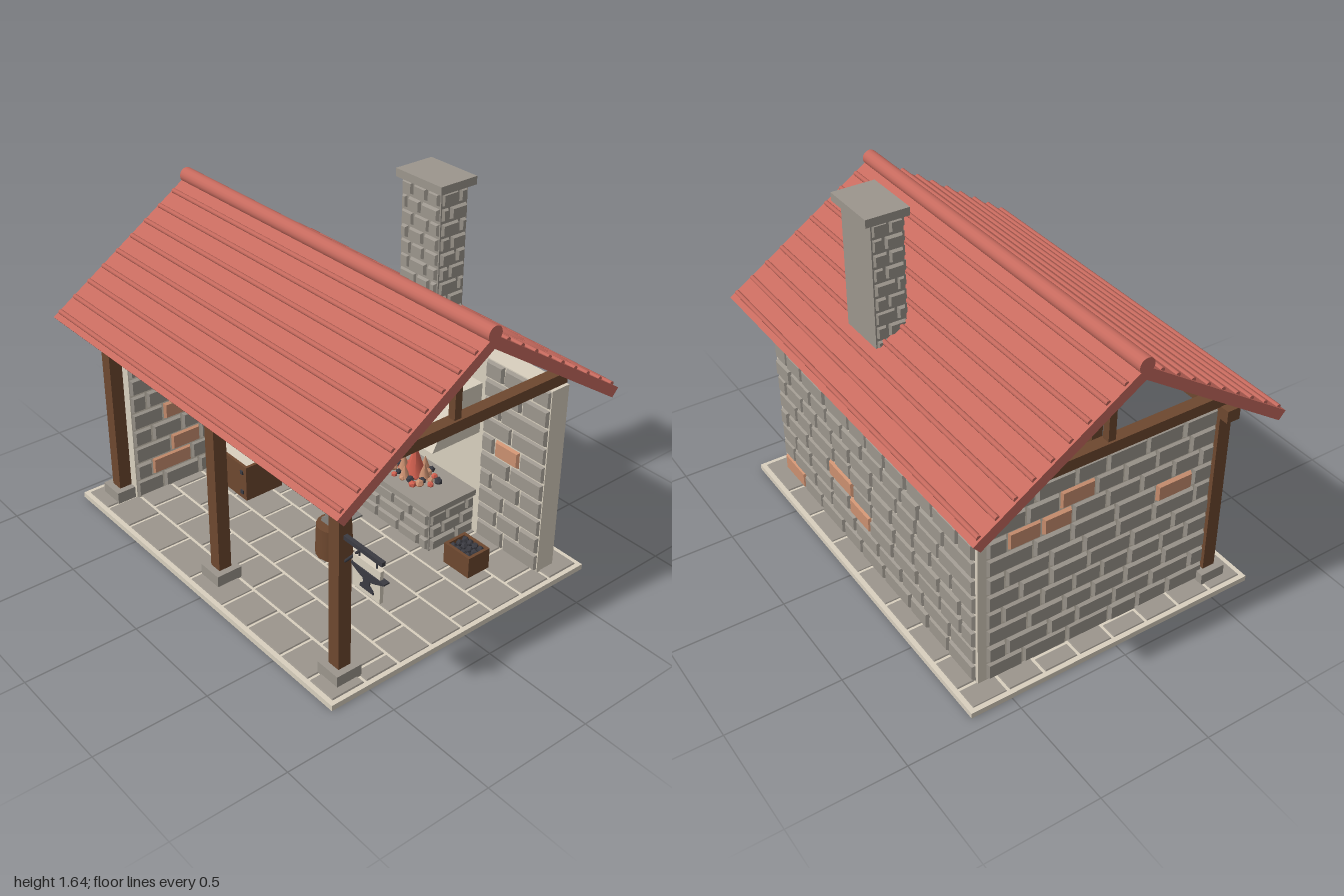
import * as THREE from 'three';
import { mergeGeometries } from 'three/addons/utils/BufferGeometryUtils.js';

const mat = (name, color) => Object.assign(new THREE.MeshStandardMaterial({ color }), { name });
const M = {
  stone: mat('stone', 0x9c968d), plaster: mat('plaster', 0xd9d0bf), roof: mat('roofTile', 0xc66a5e),
  wood: mat('darkWood', 0x6e482f), brick: mat('brick', 0xcb9070), iron: mat('iron', 0x3b3b42),
  steel: mat('steel', 0x85827e), flame: mat('flame', 0xd2604f),
};

function rng(seed) {
  let s = seed * 7919 + 17;
  return () => (s = (s * 16807) % 2147483647) / 2147483647;
}

export function createModel() {
  const root = new THREE.Group();
  root.name = 'smithy';
  const add = (name, geo, material, parent = root) => {
    const m = new THREE.Mesh(geo, material);
    m.name = name;
    parent.add(m);
    return m;
  };
  // box given by its min and max on every axis
  const boxGeo = (x0, x1, y0, y1, z0, z1) =>
    new THREE.BoxGeometry(x1 - x0, y1 - y0, z1 - z0).translate((x0 + x1) / 2, (y0 + y1) / 2, (z0 + z1) / 2);
  const box = (name, m, x0, x1, y0, y1, z0, z1) => add(name, boxGeo(x0, x1, y0, y1, z0, z1), m);
  // rod between two points
  const rod = (name, m, a, b, r, sides = 8) => {
    const A = new THREE.Vector3(...a), B = new THREE.Vector3(...b), d = B.clone().sub(A);
    const mesh = add(name, new THREE.CylinderGeometry(r, r, d.length(), sides), m);
    mesh.position.copy(A).add(B).multiplyScalar(0.5);
    mesh.quaternion.setFromUnitVectors(new THREE.Vector3(0, 1, 0), d.normalize());
    return mesh;
  };
  const shapeOf = pts => new THREE.Shape(pts.map(p => new THREE.Vector2(...p)));
  const prism = (pts, depth) => new THREE.ExtrudeGeometry(shapeOf(pts), { depth, bevelEnabled: false });
  // profile of (-z, y) points swept from x0 to x1
  const sweepX = (pts, x0, x1) => prism(pts, x1 - x0).rotateY(Math.PI / 2).translate(x0, 0, 0);

  // block with a chamfered outer face
  function block(x, y, w, h, d) {
    const g = new THREE.BoxGeometry(w, h, d).translate(0, 0, d / 2);
    const p = g.attributes.position, c = Math.min(0.007, d * 0.5);
    for (let i = 0; i < p.count; i++) if (p.getZ(i) > d / 2) {
      p.setX(i, p.getX(i) - Math.sign(p.getX(i)) * c);
      p.setY(i, p.getY(i) - Math.sign(p.getY(i)) * c);
    }
    const flat = g.toNonIndexed();
    flat.computeVertexNormals();
    return flat.translate(x + w / 2, y + h / 2, 0);
  }
  // courses of blocks on a w by h plane; blocks holding a listed point become brick
  function masonry(name, w, h, o) {
    const { rows, len = 0.17, depth = 0.014, gap = 0.01, seed = 1, bricks = [] } = o;
    const r = rng(seed), rh = h / rows, sets = { stone: [], brick: [] };
    for (let j = 0; j < rows; j++) {
      let x = 0, first = true;
      while (x < w - 0.001) {
        let l = len * (0.75 + 0.5 * r()) * (first && j % 2 ? 0.55 : 1);
        if (w - x - l < len * 0.4) l = w - x;
        const hot = bricks.some(([u, v]) => u > x && u <= x + l && v > j * rh && v <= (j + 1) * rh);
        sets[hot ? 'brick' : 'stone'].push(
          block(x + gap / 2, j * rh + gap / 2, l - gap, rh - gap, depth * (0.8 + 0.4 * r())));
        x += l;
        first = false;
      }
    }
    const g = new THREE.Group();
    g.name = name;
    for (const k in sets) if (sets[k].length) add(name + '_' + k, mergeGeometries(sets[k]), M[k], g);
    g.position.set(...o.at);
    g.rotation.set(o.rx || 0, o.ry || 0, 0);
    root.add(g);
  }
  const Q = Math.PI / 2;

  // floor
  box('floorSlab', M.plaster, -0.94, 0.86, 0, 0.025, -0.685, 0.685);
  masonry('floorTiles', 1.77, 1.34, { rows: 8, len: 0.19, depth: 0.006, gap: 0.012, seed: 4, at: [-0.925, 0.024, 0.67], rx: -Q });

  // walls: plaster cores faced with stone
  box('backWall', M.plaster, -0.83, 0.78, 0.025, 0.91, -0.585, -0.49);
  box('leftWall', M.plaster, -0.83, -0.745, 0.025, 0.91, -0.49, 0.52);
  const wall = { rows: 10, len: 0.17 };
  masonry('leftWallInside', 1.01, 0.88, { ...wall, seed: 3, at: [-0.745, 0.03, 0.52], ry: Q,
    bricks: [[0.26, 0.49], [0.6, 0.49], [0.22, 0.4], [0.39, 0.4], [0.72, 0.4], [0.22, 0.22], [0.1, 0.13], [0.72, 0.13]] });
  masonry('leftWallOutside', 1.07, 0.88, { ...wall, seed: 8, at: [-0.83, 0.03, -0.55], ry: -Q,
    bricks: [[0.12, 0.66], [0.28, 0.66], [0.4, 0.75], [0.9, 0.57]] });
  masonry('backWallOutside', 1.59, 0.88, { ...wall, seed: 12, at: [0.77, 0.03, -0.585], ry: Math.PI,
    bricks: [[0.05, 0.06], [0.56, 0.3], [0.66, 0.21]] });
  masonry('backWallInsideLeft', 0.6, 0.88, { ...wall, seed: 5, at: [-0.74, 0.03, -0.49] });
  masonry('backWallInsideRight', 0.36, 0.88, { ...wall, seed: 6, at: [0.42, 0.03, -0.49], bricks: [[0.17, 0.48]] });

  // roof, ridge roll and battens
  add('roof', sweepX([[0, 1.385], [-0.712, 0.913], [-0.682, 0.878], [0, 1.33], [0.682, 0.878], [0.712, 0.913]], -1, 0.92), M.roof);
  rod('ridgeRoll', M.roof, [-1, 1.388, 0], [0.92, 1.388, 0], 0.034, 16);
  for (const s of [-1, 1]) for (let i = 0; i < 9; i++) {
    const z = 0.078 + 0.0755 * i, y = 1.387 - 0.663 * z;
    rod('roofBatten', M.roof, [-0.99, y, s * z], [0.91, y, s * z], 0.011);
  }

  // timber frame
  for (const x of [-0.82, -0.04, 0.74]) {
    box('postFoot', M.stone, x - 0.06, x + 0.06, 0.025, 0.08, 0.49, 0.61);
    box('post', M.wood, x - 0.03, x + 0.03, 0.08, 0.86, 0.52, 0.58);
    box('tieBeam', M.wood, x - 0.027, x + 0.027, 0.912, 0.962, -0.587, 0.587);
    box('kingPost', M.wood, x - 0.017, x + 0.017, 0.96, 1.23, -0.017, 0.017);
    const s = x > 0.5 ? -1 : 1;
    const brace = add('brace', new THREE.BoxGeometry(0.15, 0.026, 0.03), M.wood);
    brace.position.set(x + s * 0.08, 0.815, 0.55);
    brace.rotation.z = s * 0.7;
  }
  box('frontPlate', M.wood, -0.89, 0.81, 0.858, 0.914, 0.52, 0.583);
  box('ridgeBeam', M.wood, -0.9, 0.82, 1.226, 1.28, -0.027, 0.027);

  // chimney
  box('chimney', M.stone, 0.03, 0.255, 0.78, 1.61, -0.49, -0.35);
  const flue = { rows: 13, len: 0.085, depth: 0.012, gap: 0.012 };
  masonry('chimneyFront', 0.225, 0.83, { ...flue, seed: 21, at: [0.03, 0.78, -0.35] });
  masonry('chimneyRight', 0.14, 0.83, { ...flue, seed: 22, at: [0.255, 0.78, -0.35], ry: Q });
  masonry('chimneyLeft', 0.14, 0.83, { ...flue, seed: 23, at: [0.03, 0.78, -0.49], ry: -Q });
  box('chimneyCap', M.stone, 0.01, 0.274, 1.61, 1.645, -0.52, -0.33);

  // forge with hood
  add('hood', sweepX([[0.22, 0.54], [0.49, 0.54], [0.49, 0.78], [0.35, 0.78]], -0.12, 0.4), M.plaster);
  box('forge', M.stone, -0.1, 0.385, 0.025, 0.22, -0.49, -0.235);
  masonry('forgeFront', 0.485, 0.19, { rows: 3, len: 0.13, seed: 31, at: [-0.1, 0.03, -0.235] });
  masonry('forgeRight', 0.255, 0.19, { rows: 3, len: 0.12, seed: 32, at: [0.385, 0.03, -0.235], ry: Q });
  masonry('forgeLeft', 0.255, 0.19, { rows: 3, len: 0.12, seed: 33, at: [-0.1, 0.03, -0.49], ry: -Q });
  box('forgeTop', M.stone, -0.11, 0.4, 0.22, 0.248, -0.49, -0.22);
  const r = rng(9);
  const lump = (name, m, x, y, z, size) => {
    const c = add(name, new THREE.IcosahedronGeometry(size, 0), m);
    c.position.set(x, y, z);
    c.rotation.set(r() * 3, r() * 3, 0);
  };
  for (let i = 0; i < 28; i++) {
    const a = i * 2.4, d = Math.sqrt(i / 28);
    lump('ember', [M.flame, M.brick, M.iron][i % 3], 0.145 + 0.13 * d * Math.cos(a), 0.255, -0.365 + 0.085 * d * Math.sin(a), 0.014 + 0.008 * r());
  }
  for (const [x, z, rad, h, m] of [[0.145, -0.365, 0.05, 0.15, M.flame], [0.09, -0.35, 0.027, 0.08, M.brick],
    [0.2, -0.37, 0.027, 0.08, M.brick], [0.14, -0.31, 0.025, 0.06, M.brick], [0.15, -0.42, 0.025, 0.07, M.brick]])
    add('flame', new THREE.ConeGeometry(rad, h, 7), m).position.set(x, 0.255 + h / 2, z);

  // bellows on a stand
  const pear = new THREE.Shape();
  pear.moveTo(-0.09, 0.012);
  pear.bezierCurveTo(-0.16, 0.03, -0.18, 0.1, -0.26, 0.1);
  pear.bezierCurveTo(-0.39, 0.1, -0.39, -0.1, -0.26, -0.1);
  pear.bezierCurveTo(-0.18, -0.1, -0.16, -0.03, -0.09, -0.012);
  [[0.238, 0.012, M.brick], [0.25, 0.022, M.wood], [0.272, 0.012, M.brick]].forEach(([y, depth, m]) =>
    add('bellows', new THREE.ExtrudeGeometry(pear, { depth, bevelEnabled: false }).rotateX(-Q).translate(0, y, -0.38), m));
  rod('bellowsHandle', M.brick, [-0.47, 0.375, -0.38], [-0.33, 0.275, -0.38], 0.01);
  rod('bellowsNozzle', M.iron, [-0.1, 0.26, -0.38], [-0.02, 0.26, -0.38], 0.01);
  for (const z of [-0.445, -0.315]) {
    for (const x of [-0.32, -0.14]) box('standLeg', M.wood, x - 0.012, x + 0.012, 0.03, 0.24, z - 0.012, z + 0.012);
    box('standRail', M.wood, -0.33, -0.13, 0.2, 0.22, z - 0.008, z + 0.008);
  }

  // anvil on a stump
  const anvilPts = [[-0.05, 0], [0.06, 0], [0.055, 0.02], [0.028, 0.035], [0.03, 0.06], [0.07, 0.07], [0.145, 0.1],
    [0.145, 0.108], [-0.12, 0.108], [-0.12, 0.096], [-0.06, 0.07], [-0.025, 0.06], [-0.02, 0.035], [-0.045, 0.02]];
  add('stump', new THREE.CylinderGeometry(0.078, 0.083, 0.148, 16), M.wood).position.set(0.128, 0.102, 0.078);
  add('anvil', prism(anvilPts, 0.065), M.steel).position.set(0.128, 0.176, 0.045);

  // open crates: trough with water, box with coal
  const crate = (name, x0, x1, h, z0, z1, fill) => {
    const t = 0.014, y = 0.03;
    box(name + 'Front', M.wood, x0, x1, y, h, z1 - t, z1);
    box(name + 'Back', M.wood, x0, x1, y, h, z0, z0 + t);
    for (const x of [x0, x1 - t]) box(name + 'Side', M.wood, x, x + t, y, h, z0 + t, z1 - t);
    box(name + 'Fill', fill, x0 + t, x1 - t, y, h - 0.02, z0 + t, z1 - t);
  };
  crate('trough', -0.73, -0.41, 0.205, -0.05, 0.15, M.plaster);
  for (const x of [-0.7, -0.44]) for (const y of [0.065, 0.17])
    box('troughStud', M.iron, x - 0.009, x + 0.009, y - 0.009, y + 0.009, 0.15, 0.156);
  crate('coalBox', 0.48, 0.63, 0.13, -0.355, -0.235, M.iron);
  for (let i = 0; i < 12; i++) lump('coal', M.iron, 0.51 + 0.03 * (i % 4), 0.118, -0.33 + 0.035 * Math.floor(i / 4), 0.017);

  // tool rack
  box('toolRack', M.brick, -0.73, -0.18, 0.472, 0.525, -0.48, -0.462);
  [-0.68, -0.62, -0.53, -0.47, -0.39, -0.32, -0.24].forEach((x, i) => {
    const z = -0.45;
    rod('hook', M.iron, [x, 0.495, -0.465], [x, 0.495, -0.435], 0.005, 6);
    if (i === 3 || i === 6) {
      add('horseshoe', new THREE.TorusGeometry(0.022, 0.005, 6, 14, 4.6), M.steel).position.set(x, 0.465, z);
    } else if (i % 2) {
      for (const s of [-1, 1]) {
        rod('tongs', M.iron, [x + s * 0.006, 0.5, z], [x - s * 0.012, 0.4, z], 0.005, 6);
        rod('tongs', M.iron, [x - s * 0.012, 0.4, z], [x, 0.35, z], 0.005, 6);
      }
    } else {
      rod('hammerHandle', M.wood, [x, 0.38, z], [x, 0.5, z], 0.006, 6);
      box('hammerHead', M.iron, x - 0.022, x + 0.022, 0.48, 0.502, z - 0.01, z + 0.01);
    }
  });

  // hanging sign
  box('signBar', M.iron, 0.77, 0.98, 0.68, 0.698, 0.541, 0.559);
  rod('signBrace', M.iron, [0.77, 0.58, 0.55], [0.86, 0.685, 0.55], 0.006, 6);
  for (const x of [0.85, 0.945]) rod('signLink', M.iron, [x, 0.65, 0.55], [x, 0.685, 0.55], 0.004, 6);
  box('signBoard', M.plaster, 0.822, 0.972, 0.512, 0.652, 0.542, 0.558);
  add('signAnvil', prism(anvilPts.map(([x, y]) => [x * 0.68, y * 0.75]), 0.026), M.iron).position.set(0.9, 0.535, 0.537);
  return root;
}
